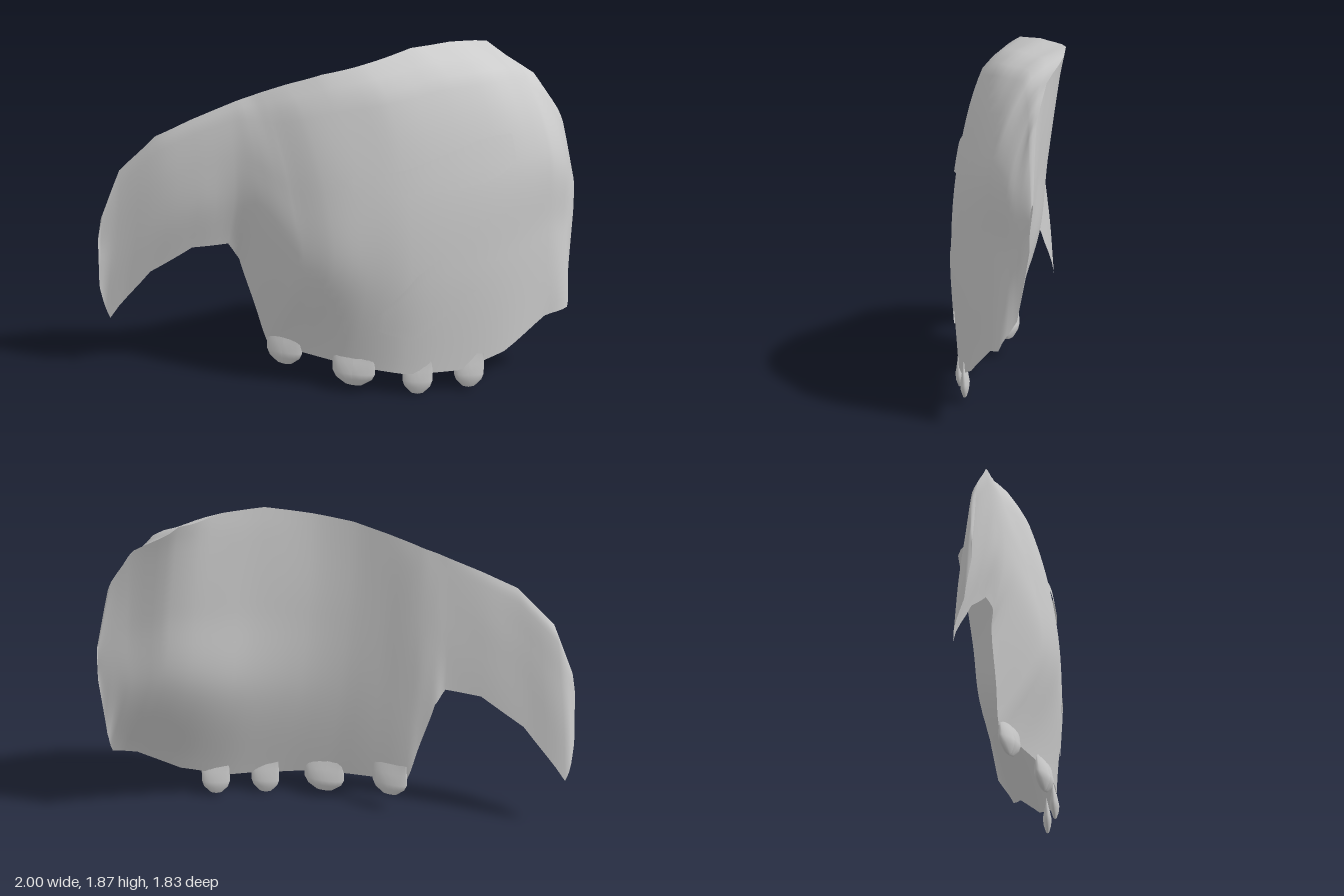
import * as THREE from 'three';

const material = new THREE.MeshStandardMaterial({ color: 0xcccccc, side: THREE.DoubleSide });

// Upright sections of the bulging outer face: x, lower y, upper y, then z at the heights in LEVELS
const LEVELS = [0, 0.35, 0.65, 0.93, 1];
const SECTIONS = [
  [-1.00, 0.72, 0.80, -0.87, -0.87, -0.87, -0.87, -0.87],
  [-0.98, 0.50, 0.95, -0.90, -0.88, -0.87, -0.85, -0.84],
  [-0.91, 0.30, 1.20, -0.91, -0.84, -0.80, -0.77, -0.77],
  [-0.78, 0.60, 1.40, -0.70, -0.63, -0.60, -0.60, -0.61],
  [-0.64, 0.76, 1.49, -0.50, -0.44, -0.44, -0.46, -0.48],
  [-0.51, 0.79, 1.565, -0.35, -0.29, -0.29, -0.33, -0.36],
  [-0.46, 0.70, 1.595, -0.32, -0.18, -0.20, -0.27, -0.31],
  [-0.41, 0.43, 1.62, -0.25, -0.02, -0.07, -0.20, -0.26],
  [-0.37, 0.22, 1.645, -0.20, 0.09, 0.03, -0.13, -0.21],
  [-0.29, 0.19, 1.69, 0.00, 0.25, 0.19, 0.01, -0.11],
  [-0.17, 0.16, 1.75, 0.27, 0.39, 0.34, 0.16, 0.04],
  [0.00, 0.13, 1.80, 0.50, 0.55, 0.50, 0.34, 0.18],
  [0.25, 0.13, 1.865, 0.67, 0.70, 0.66, 0.48, 0.28],
  [0.49, 0.21, 1.87, 0.79, 0.80, 0.77, 0.58, 0.34],
  [0.74, 0.37, 1.84, 0.86, 0.86, 0.84, 0.61, 0.38],
  [0.87, 0.40, 1.68, 0.91, 0.86, 0.85, 0.70, 0.61],
  [0.94, 0.55, 1.49, 0.85, 0.845, 0.83, 0.77, 0.73],
  [1.00, 0.90, 1.12, 0.82, 0.82, 0.82, 0.81, 0.80],
];

// Middle z values of the flatter inner face, which shares its rim with the outer one
const INNER_MIDDLE = [
  [-0.87, -0.87, -0.87], [-0.89, -0.88, -0.86], [-0.88, -0.84, -0.80], [-0.67, -0.65, -0.63],
  [-0.50, -0.50, -0.49], [-0.36, -0.36, -0.36], [-0.31, -0.31, -0.31], [-0.25, -0.25, -0.26],
  [-0.18, -0.19, -0.21], [-0.03, -0.06, -0.10], [0.15, 0.09, 0.05], [0.30, 0.23, 0.19],
  [0.42, 0.35, 0.29], [0.48, 0.41, 0.35], [0.57, 0.49, 0.41], [0.70, 0.66, 0.62],
  [0.77, 0.74, 0.73], [0.82, 0.81, 0.80],
];
const OUTER = SECTIONS.map((s) => s.slice(3));
const INNER = OUTER.map((zs, i) => [zs[0], ...INNER_MIDDLE[i], zs[4]]);

// Smooth curve through points (xs, ys)
function smooth(xs, ys, x) {
  const last = xs.length - 1;
  let i = 0;
  while (i < last - 1 && x > xs[i + 1]) i++;
  const slope = (k) => {
    const a = Math.max(k - 1, 0), b = Math.min(k + 1, last);
    return (ys[b] - ys[a]) / (xs[b] - xs[a]);
  };
  const h = xs[i + 1] - xs[i];
  const t = THREE.MathUtils.clamp((x - xs[i]) / h, 0, 1);
  const s = t * t * (3 - 2 * t);
  return ys[i] + (ys[i + 1] - ys[i]) * s
    + h * t * (1 - t) * ((1 - t) * slope(i) - t * slope(i + 1));
}

// Lower and upper y at x, along straight runs between stations
function bounds(stations, x) {
  let i = 0;
  while (i < stations.length - 2 && x > stations[i + 1][0]) i++;
  const [a, b] = [stations[i], stations[i + 1]];
  const t = (x - a[0]) / (b[0] - a[0]);
  return [1, 2].map((k) => THREE.MathUtils.lerp(a[k], b[k], t));
}

// z of a face at (x, y)
const stationX = SECTIONS.map((s) => s[0]);
function depth(face, x, y) {
  const [low, high] = bounds(SECTIONS, x);
  const zs = LEVELS.map((_, k) => smooth(stationX, face.map((f) => f[k]), x));
  return smooth(LEVELS, zs, (y - low) / (high - low));
}

// Curved sheet following a face between two edges
function sheet(name, face, stations, rows, splits, lift = 0) {
  const xs = [stations[0][0]];
  for (let i = 1; i < stations.length; i++) {
    for (let k = 1; k <= splits; k++) {
      xs.push(THREE.MathUtils.lerp(stations[i - 1][0], stations[i][0], k / splits));
    }
  }
  const positions = [], index = [];
  xs.forEach((x, i) => {
    const [low, high] = bounds(stations, x);
    for (let j = 0; j <= rows; j++) {
      const y = THREE.MathUtils.lerp(low, high, j / rows);
      positions.push(x, y, depth(face, x, y) + lift);
      if (i && j) {
        const d = i * (rows + 1) + j, c = d - 1, b = d - rows - 1, a = b - 1;
        index.push(a, c, d, a, d, b);
      }
    }
  });
  const geometry = new THREE.BufferGeometry();
  geometry.setAttribute('position', new THREE.Float32BufferAttribute(positions, 3));
  geometry.setIndex(index);
  geometry.computeVertexNormals();
  const mesh = new THREE.Mesh(geometry, material);
  mesh.name = name;
  return mesh;
}

// Blunt tab under the lower edge, thinning upwards to vanish between the two faces
function tab(x, y, z, dx, dz) {
  const w = Math.hypot(dx, dz), height = 0.2;
  const profile = [[0, 0], [0.4, 0.008], [0.85, 0.045], [1, 0.08], [1, 0.14], [0.95, height]]
    .map(([r, h]) => new THREE.Vector2(r * w, h));
  const geometry = new THREE.LatheGeometry(profile, 16);
  const p = geometry.attributes.position;
  for (let i = 0; i < p.count; i++) {
    p.setZ(i, p.getZ(i) * 0.3 * Math.min(1, (height - p.getY(i)) / 0.12));
  }
  geometry.computeVertexNormals();
  const mesh = new THREE.Mesh(geometry, material);
  mesh.name = 'edgeTab';
  mesh.position.set(x, y, z);
  mesh.rotation.y = Math.atan2(-dz, dx);
  return mesh;
}

export function createModel() {
  const group = new THREE.Group();
  group.name = 'curvedShell';

  // Hollow shell with its side wing
  group.add(sheet('outerFace', OUTER, SECTIONS, 28, 4));
  group.add(sheet('innerFace', INNER, SECTIONS, 28, 4));

  // Shallow surface panels
  group.add(sheet('browPanel', OUTER, [
    [-0.28, 1.215, 1.225], [-0.2, 1.175, 1.245], [0, 1.16, 1.29], [0.2, 1.175, 1.37],
    [0.35, 1.2, 1.425], [0.44, 1.235, 1.44], [0.53, 1.3, 1.44],
  ], 6, 3, 0.015));
  group.add(sheet('cheekPanel', OUTER, [
    [0.24, 0.84, 0.86], [0.31, 0.8, 0.97], [0.38, 0.75, 1.02], [0.46, 0.77, 1.02],
    [0.51, 0.83, 0.97], [0.53, 0.88, 0.93],
  ], 6, 3, 0.012));
  group.add(sheet('jawPanel', OUTER, [
    [-0.15, 0.42, 0.46], [-0.1, 0.38, 0.52], [0.02, 0.33, 0.71], [0.12, 0.43, 0.8],
    [0.22, 0.52, 0.7], [0.31, 0.6, 0.62],
  ], 6, 3, 0.008));

  // Row of tabs along the lower edge
  group.add(
    tab(-0.33, 0.10, -0.10, 0.04, 0.10),
    tab(-0.16, 0.04, 0.275, 0.06, 0.105),
    tab(0.065, 0.005, 0.54, 0.055, 0.06),
    tab(0.31, 0.02, 0.695, 0.06, 0.055),
  );
  return group;
}
